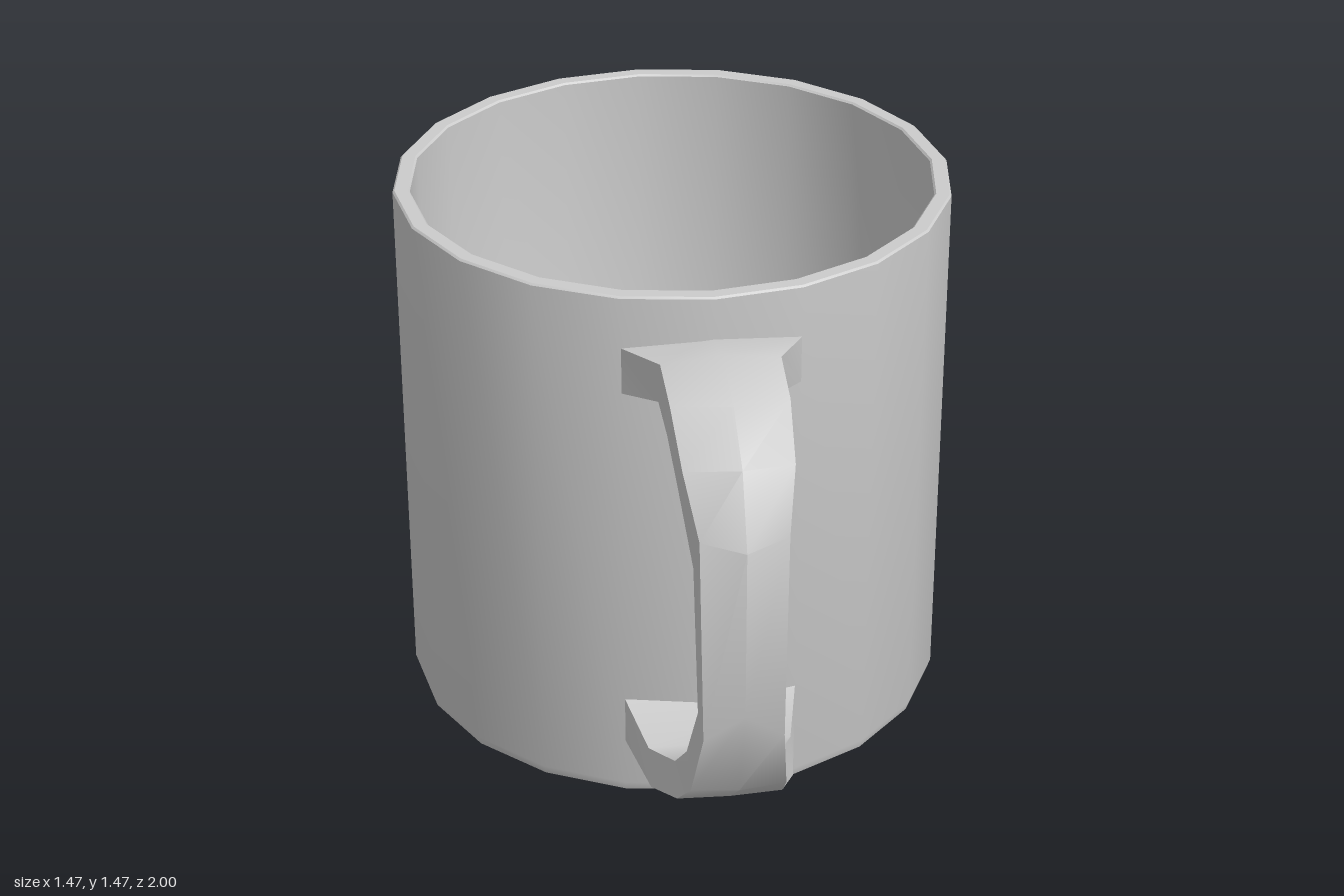
import * as THREE from 'three';
import { toCreasedNormals } from 'three/addons/utils/BufferGeometryUtils.js';

const CUP_Z = -0.265;

// Hollow 20-sided cup turned from one closed wall profile
function cupGeometry() {
  const profile = [
    [0, 0], [0.7, 0], [0.727, 0.01], [0.735, 0.035],
    [0.735, 1.465], [0.73, 1.47], [0.695, 1.47], [0.69, 1.465],
    [0.685, 0.11], [0.67, 0.07], [0.64, 0.06], [0, 0.06],
  ].map(([r, y]) => new THREE.Vector2(r, y));
  return toCreasedNormals(new THREE.LatheGeometry(profile, 20), 0.5);
}

// Handle sections: half width, then (z, y) of the outer ridge, outer edge and inner edge
const SECTIONS = [
  [0.225, 0.434, 1.35, 0.434, 1.33, 0.434, 1.205],
  [0.148, 0.6, 1.38, 0.58, 1.355, 0.545, 1.235],
  [0.145, 0.78, 1.335, 0.73, 1.32, 0.68, 1.215],
  [0.135, 0.92, 1.24, 0.87, 1.22, 0.78, 1.135],
  [0.108, 1.0, 1.06, 0.965, 1.08, 0.865, 0.95],
  [0.1, 1.0, 0.6, 0.983, 0.53, 0.89, 0.55],
  [0.12, 0.92, 0.33, 0.91, 0.335, 0.835, 0.4],
  [0.135, 0.775, 0.21, 0.77, 0.212, 0.73, 0.3],
  [0.185, 0.645, 0.163, 0.645, 0.165, 0.6, 0.255],
  [0.225, 0.434, 0.17, 0.434, 0.17, 0.434, 0.3],
];

// Five-cornered loops joined along the handle, with capped ends
function handleGeometry() {
  const positions = [];
  const index = [];
  for (const [w, mz, my, ez, ey, iz, iy] of SECTIONS) {
    positions.push(0, my, mz, w, ey, ez, w, iy, iz, -w, iy, iz, -w, ey, ez);
  }
  const n = 5;
  const last = (SECTIONS.length - 1) * n;
  for (let s = 0; s < last; s += n) {
    for (let i = 0; i < n; i++) {
      const a = s + i;
      const b = s + ((i + 1) % n);
      index.push(a, a + n, b, b, a + n, b + n);
    }
  }
  for (let i = 1; i < n - 1; i++) {
    index.push(0, i, i + 1, last, last + i + 1, last + i);
  }
  const geometry = new THREE.BufferGeometry();
  geometry.setAttribute('position', new THREE.Float32BufferAttribute(positions, 3));
  geometry.setIndex(index);
  return toCreasedNormals(geometry, 0.6);
}

export function createModel() {
  const group = new THREE.Group();
  group.name = 'mug';
  const material = new THREE.MeshStandardMaterial({ color: 0xcccccc });

  const cup = new THREE.Mesh(cupGeometry(), material);
  cup.name = 'cup';
  cup.position.z = CUP_Z;

  const handle = new THREE.Mesh(handleGeometry(), material);
  handle.name = 'handle';

  group.add(cup, handle);
  return group;
}
